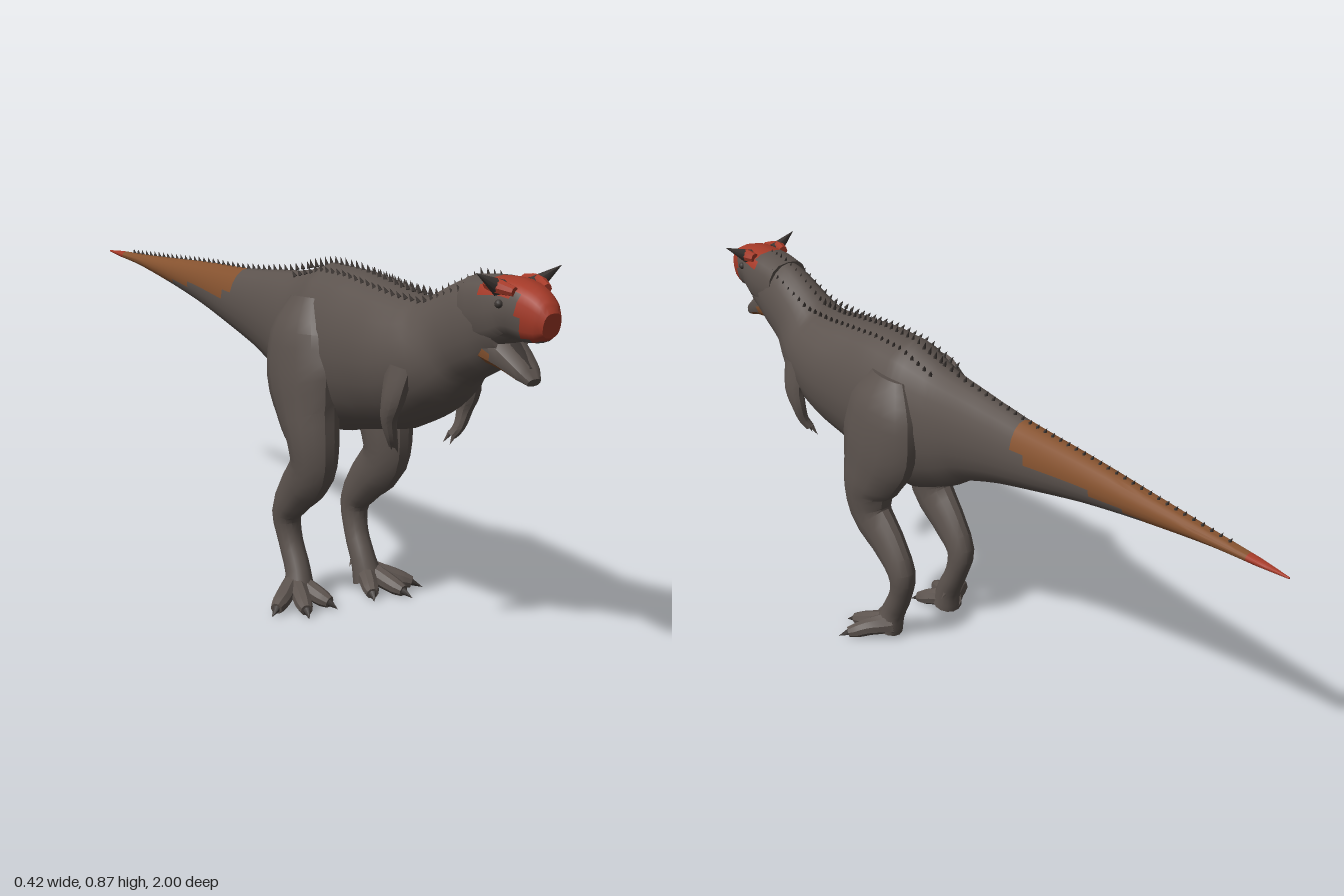
import * as THREE from 'three';
import { mergeGeometries, toCreasedNormals } from 'three/addons/utils/BufferGeometryUtils.js';

const mat = (name, color) => {
  const m = new THREE.MeshStandardMaterial({ color });
  m.name = name;
  return m;
};

// Body outline from neck to tail tip: [z, top, bottom, half width]
const BODY = [
  [0.86, 0.85, 0.69, 0.055], [0.78, 0.85, 0.645, 0.066], [0.70, 0.815, 0.605, 0.076],
  [0.62, 0.785, 0.535, 0.105], [0.52, 0.785, 0.48, 0.12], [0.42, 0.795, 0.455, 0.118],
  [0.32, 0.805, 0.435, 0.118], [0.22, 0.805, 0.415, 0.115], [0.12, 0.785, 0.45, 0.092],
  [0.02, 0.765, 0.505, 0.074], [-0.1, 0.75, 0.545, 0.06], [-0.2, 0.74, 0.57, 0.052],
  [-0.4, 0.73, 0.615, 0.041], [-0.6, 0.716, 0.648, 0.03], [-0.8, 0.703, 0.673, 0.018],
  [-0.92, 0.697, 0.68, 0.011], [-1, 0.69, 0.686, 0.002],
];

// Body section at a given z: centre height, half height, half width
function bodyAt(z) {
  let i = 0;
  while (i < BODY.length - 2 && BODY[i + 1][0] > z) i++;
  const a = BODY[i], b = BODY[i + 1], k = (a[0] - z) / (a[0] - b[0]);
  const [top, bot, w] = [1, 2, 3].map((n) => a[n] + (b[n] - a[n]) * k);
  return { y: (top + bot) / 2, h: (top - bot) / 2, w };
}

// Skin oval rings [x, y, z, rx, ry] along a smooth path; pick() chooses a material slot per face
function loft(rings, { sides = 14, sub = 3, power = 1, crease = 0.55, pick = () => 0 } = {}) {
  const path = new THREE.CatmullRomCurve3(rings.map((r) => new THREE.Vector3(r[0], r[1], r[2])));
  const size = new THREE.CatmullRomCurve3(rings.map((r) => new THREE.Vector3(r[3], r[4], 0)));
  const n = (rings.length - 1) * sub, pts = [], slots = [];
  const bend = (v) => Math.sign(v) * Math.abs(v) ** power;
  const centres = [];
  for (let i = 0; i <= n; i++) {
    const c = path.getPoint(i / n), s = size.getPoint(i / n), t = path.getTangent(i / n);
    const u = new THREE.Vector3(1, 0, 0).addScaledVector(t, -t.x).normalize();
    const v = new THREE.Vector3().crossVectors(t, u);
    centres.push(c);
    pts.push(Array.from({ length: sides }, (_, j) => {
      const a = (j / sides) * Math.PI * 2;
      return c.clone().addScaledVector(u, bend(Math.cos(a)) * s.x).addScaledVector(v, bend(Math.sin(a)) * s.y);
    }));
  }
  const add = (c, ...tri) => {
    const mid = tri.reduce((m, p) => m.add(p), new THREE.Vector3()).divideScalar(tri.length);
    const list = (slots[pick(mid, c)] ??= []);
    for (let k = 1; k < tri.length - 1; k++)
      for (const p of [tri[0], tri[k], tri[k + 1]]) list.push(p.x, p.y, p.z);
  };
  for (let j = 0; j < sides; j++) {
    const k = (j + 1) % sides;
    for (let i = 0; i < n; i++) add(centres[i], pts[i][j], pts[i][k], pts[i + 1][k], pts[i + 1][j]);
    add(centres[0], centres[0], pts[0][k], pts[0][j]);
    add(centres[n], centres[n], pts[n][j], pts[n][k]);
  }
  const geo = new THREE.BufferGeometry();
  geo.setAttribute('position', new THREE.Float32BufferAttribute(slots.flat(), 3));
  let start = 0;
  slots.forEach((list, m) => {
    geo.addGroup(start, list.length / 3, m);
    start += list.length / 3;
  });
  return toCreasedNormals(geo, crease);
}

// Cone from a base point to a tip
function spike(base, tip, radius, sides = 5) {
  const a = new THREE.Vector3(...base), d = new THREE.Vector3(...tip).sub(a), len = d.length();
  const q = new THREE.Quaternion().setFromUnitVectors(new THREE.Vector3(0, 1, 0), d.normalize());
  return new THREE.ConeGeometry(radius, len, sides).translate(0, len / 2, 0)
    .applyQuaternion(q).translate(a.x, a.y, a.z);
}

export function createModel() {
  const hide = mat('greyHide', 0x5c534e);
  const dark = mat('darkScale', 0x3d3734);
  const red = mat('redHide', 0xa53a28);
  const orange = mat('orangeHide', 0x85522f);
  const model = new THREE.Group();
  const put = (name, geo, material, parent = model) => {
    const m = new THREE.Mesh(geo, material);
    m.name = name;
    parent.add(m);
  };

  // Neck, trunk and tail, with an orange upper tail and red tip
  put('bodyAndTail', loft(BODY.map(([z, t, b, w]) => [0, (t + b) / 2, z, w, (t - b) / 2]), {
    sides: 20, sub: 4,
    pick: (p, c) => (p.z < -0.88 ? 2 : p.z < -0.2 && p.y > c.y + 0.02 + 0.1 * (p.z + 0.2) ? 1 : 0),
  }), [hide, orange, red]);

  // Skull with red snout and crown
  put('skull', loft([
    [0, 0.775, 0.77, 0.06, 0.075], [0, 0.785, 0.84, 0.063, 0.074], [0, 0.798, 0.9, 0.056, 0.06],
    [0, 0.789, 0.95, 0.042, 0.055], [0, 0.782, 0.98, 0.032, 0.043], [0, 0.778, 0.997, 0.022, 0.026],
  ], {
    sides: 16, power: 0.75,
    pick: (p) => (p.y > 0.745 && (p.z > 0.94 || (p.z > 0.84 && p.y > 0.83)) ? 1 : 0),
  }), [hide, red]);

  // Open lower jaw with an orange underside
  put('lowerJaw', loft([
    [0, 0.72, 0.82, 0.052, 0.045], [0, 0.696, 0.88, 0.042, 0.028],
    [0, 0.672, 0.925, 0.03, 0.018], [0, 0.657, 0.948, 0.016, 0.01],
  ], { power: 0.8, pick: (p, c) => (p.y < c.y - 0.012 ? 1 : 0) }), [hide, orange]);
  put('tongue', loft([
    [0, 0.73, 0.87, 0.02, 0.008], [0, 0.707, 0.9, 0.018, 0.008], [0, 0.68, 0.935, 0.01, 0.005],
  ], { sides: 8 }), dark);

  // Spikes along the spine and in a row on each side of the back
  const spikes = [];
  const row = (from, to, step, x, height) => {
    for (let z = from; z > to; z -= step) {
      const b = bodyAt(z), y = b.y + b.h * Math.sqrt(1 - (x / b.w) ** 2) - 0.004;
      spikes.push(spike([x, y, z], [x * 1.1, y + height, z - 0.008], 0.006, 4));
    }
  };
  row(0.84, 0.1, 0.022, 0, 0.02);
  row(0.1, -0.85, 0.026, 0, 0.015);
  for (const s of [1, -1]) row(0.8, 0.1, 0.024, s * 0.04, 0.014);
  put('backSpikes', mergeGeometries(spikes), dark);

  for (const s of [1, -1]) {
    const side = s > 0 ? 'left' : 'right';
    const flip = (rings) => rings.map(([x, ...rest]) => [x * s, ...rest]);

    // Horn, brow and eye
    put(side + 'Horn', spike([s * 0.04, 0.838, 0.885], [s * 0.107, 0.876, 0.892], 0.02, 8), dark);
    put(side + 'Brow', loft(flip([
      [0.045, 0.845, 0.85, 0.012, 0.012], [0.05, 0.845, 0.885, 0.016, 0.016], [0.04, 0.838, 0.93, 0.01, 0.01],
    ]), { sides: 8 }), red);
    put(side + 'Eye', new THREE.SphereGeometry(0.009, 10, 8).translate(s * 0.055, 0.812, 0.9), dark);

    // Small arm with two fingers
    const arm = new THREE.Group();
    arm.name = side + 'Arm';
    model.add(arm);
    put('armLimb', loft(flip([
      [0.085, 0.64, 0.61, 0.025, 0.045], [0.1, 0.57, 0.605, 0.022, 0.032], [0.1, 0.525, 0.59, 0.017, 0.021],
      [0.09, 0.485, 0.585, 0.013, 0.015], [0.078, 0.463, 0.575, 0.011, 0.012],
    ]), { sides: 10 }), hide, arm);
    for (const dz of [-0.008, 0.008])
      put('finger', spike([s * 0.079, 0.468, 0.575 + dz], [s * 0.068, 0.443, 0.567 + dz * 1.6], 0.007), hide, arm);

    // Hind leg from hip to foot
    const leg = new THREE.Group();
    leg.name = side + 'Leg';
    model.add(leg);
    put('legLimb', loft(flip([
      [0.075, 0.73, 0.22, 0.03, 0.06], [0.092, 0.65, 0.225, 0.054, 0.115], [0.099, 0.56, 0.235, 0.058, 0.13],
      [0.1, 0.48, 0.26, 0.058, 0.105], [0.101, 0.41, 0.285, 0.055, 0.076], [0.1, 0.345, 0.28, 0.046, 0.068],
      [0.097, 0.28, 0.215, 0.038, 0.056], [0.096, 0.21, 0.16, 0.034, 0.04], [0.092, 0.14, 0.172, 0.029, 0.03],
      [0.092, 0.075, 0.205, 0.03, 0.032], [0.098, 0.025, 0.22, 0.038, 0.04],
    ])), hide, leg);

    // Three splayed toes, each with a claw, and a small rear toe
    for (const [x, z] of [[0.19, 0.27], [0.135, 0.315], [0.06, 0.295]]) {
      const at = (k, y) => [0.098 + (x - 0.098) * k, y, 0.2 + (z - 0.2) * k];
      put('toe', loft(flip([
        [...at(0, 0.045), 0.026, 0.032], [...at(0.45, 0.036), 0.022, 0.024],
        [...at(0.8, 0.024), 0.02, 0.02], [...at(1, 0.018), 0.014, 0.014],
      ]), { sides: 9 }), hide, leg);
      const [bx, by, bz] = at(0.95, 0.02), [tx, ty, tz] = at(1.23, 0.006);
      put('claw', spike([bx * s, by, bz], [tx * s, ty, tz], 0.011, 6), dark, leg);
    }
    put('rearToe', spike([s * 0.078, 0.085, 0.19], [s * 0.058, 0.058, 0.195], 0.011, 6), hide, leg);
  }
  return model;
}
